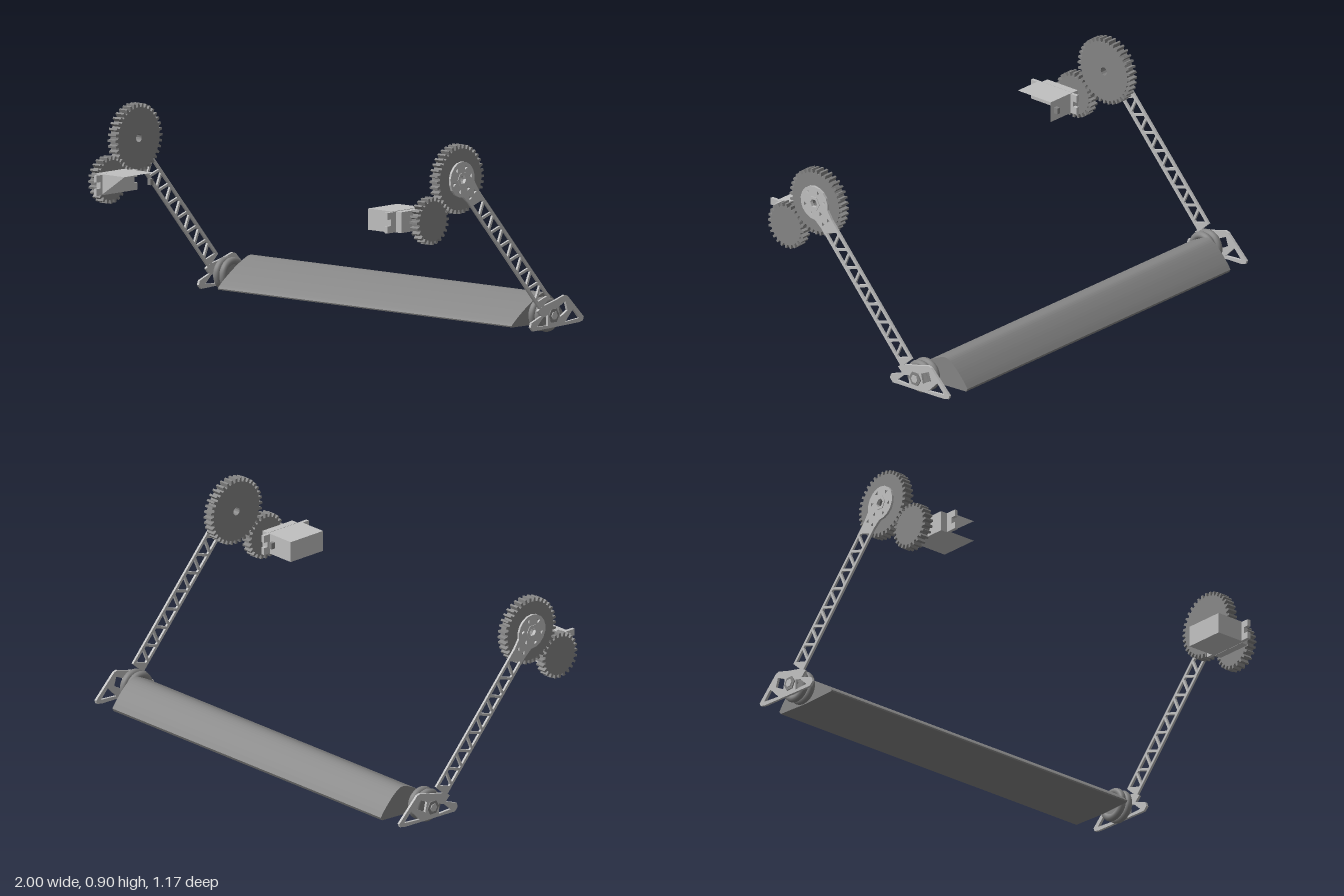
import * as THREE from 'three';

const light = new THREE.MeshStandardMaterial({ color: 0xc0c0c0 });
light.name = 'lightGrey';
const mid = new THREE.MeshStandardMaterial({ color: 0x858585 });
mid.name = 'midGrey';

// Side profiles use (u, v) = (-z, y); depth runs along x.
const HUB = [-0.22, 0.755], PINION = [-0.40, 0.587], WHEEL = [0.38, 0.084];
const path = (pts, C = THREE.Path) => new C(pts.map(p => new THREE.Vector2(...p)));
const ring = ([u, v], r, n, turn = 0) => Array.from({ length: n }, (_, i) => {
  const a = turn + i / n * Math.PI * 2;
  return [u + r * Math.cos(a), v + r * Math.sin(a)];
});

// Extrudes a side profile between x0 and x1 on the chosen side.
function plate(name, pts, holes, x0, x1, side, mat) {
  const shape = path(pts, THREE.Shape);
  shape.holes = holes.map(h => path(h));
  const geo = new THREE.ExtrudeGeometry(shape, { depth: x1 - x0, bevelEnabled: false });
  geo.rotateY(Math.PI / 2).translate(side > 0 ? x0 : -x1, 0, 0);
  const mesh = new THREE.Mesh(geo, mat);
  mesh.name = name;
  return mesh;
}

function gearOutline([u, v], root, tip, teeth) {
  const pts = [];
  for (let i = 0; i < teeth; i++)
    for (const [f, r] of [[-0.3, root], [-0.17, tip], [0.17, tip], [0.3, root]]) {
      const a = (i + f) / teeth * Math.PI * 2;
      pts.push([u + r * Math.cos(a), v + r * Math.sin(a)]);
    }
  return pts;
}

// Arm coordinates: p runs down the arm from the hub, q across it.
const arm = (p, q) => [HUB[0] + p * 0.667 + q * 0.745, HUB[1] - p * 0.745 + q * 0.667];

function armOutline() {
  const pts = [arm(0.82, -0.042), arm(0.82, 0.042), arm(0.11, 0.042)];
  for (let i = 0; i <= 14; i++) {
    const a = THREE.MathUtils.degToRad(38 + i * 284 / 14);
    pts.push(arm(0.08 * Math.cos(a), 0.08 * Math.sin(a)));
  }
  pts.push(arm(0.11, -0.042));
  return pts;
}

function armHoles() {
  const holes = [ring(HUB, 0.02, 6)];
  // truss windows, alternating direction
  for (let i = 0; i < 14; i++) {
    const p = 0.17 + i * 0.0465, s = i % 2 ? 1 : -1;
    holes.push([arm(p - 0.03, s * 0.029), arm(p + 0.03, s * 0.029),
      arm(p + 0.005, -s * 0.027), arm(p - 0.005, -s * 0.027)]);
  }
  // small triangular windows round the hub
  for (const d of [-115, -60, 0, 60, 115, 180]) {
    const a = THREE.MathUtils.degToRad(d);
    holes.push(ring(arm(0.057 * Math.cos(a), 0.057 * Math.sin(a)), 0.011, 3, a));
  }
  holes.push(ring(arm(0.1, 0.02), 0.011, 3), ring(arm(0.1, -0.02), 0.011, 3));
  return holes;
}

const END_PLATE = [[0.236, 0.065], [0.229, 0.045], [0.246, 0.027], [0.547, 0.036], [0.575, 0.042],
  [0.581, 0.058], [0.473, 0.163], [0.454, 0.168], [0.392, 0.15], [0.3, 0.13], [0.277, 0.113], [0.302, 0.089]];
const END_HOLES = [
  [[0.271, 0.045], [0.342, 0.042], [0.342, 0.09], [0.311, 0.081]],
  [[0.414, 0.118], [0.46, 0.14], [0.473, 0.098], [0.425, 0.072]],
  [[0.51, 0.1], [0.552, 0.055], [0.457, 0.047]]];

function box(name, w, h, d, x, y, z, mat) {
  const mesh = new THREE.Mesh(new THREE.BoxGeometry(w, h, d), mat);
  mesh.position.set(x, y, z);
  mesh.name = name;
  return mesh;
}

// Cylinder lying along x.
function rod(name, r, x0, x1, [u, v], side, mat, sides = 20) {
  const geo = new THREE.CylinderGeometry(r, r, x1 - x0, sides).rotateZ(Math.PI / 2);
  const mesh = new THREE.Mesh(geo, mat);
  mesh.position.set(side * (x0 + x1) / 2, v, -u);
  mesh.name = name;
  return mesh;
}

// Right motor case: open inner end and half of its front.
function openCase() {
  const [x0, x1, y0, y1, z0, z1] = [-0.865, -0.725, 0.54, 0.635, 0.35, 0.545];
  const tris = [
    [x0, y1, z0], [x0, y1, z1], [x1, y1, z1], [x0, y1, z0], [x1, y1, z1], [x1, y1, z0],
    [x0, y0, z0], [x1, y0, z0], [x1, y0, z1], [x0, y0, z0], [x1, y0, z1], [x0, y0, z1],
    [x0, y0, z0], [x0, y1, z0], [x1, y1, z0], [x0, y0, z0], [x1, y1, z0], [x1, y0, z0],
    [x0, y0, z1], [x1, y1, z1], [x0, y1, z1]];
  const geo = new THREE.BufferGeometry();
  geo.setAttribute('position', new THREE.Float32BufferAttribute(tris.flat(), 3));
  geo.computeVertexNormals();
  const mesh = new THREE.Mesh(geo, light);
  mesh.name = 'motorCase';
  return mesh;
}

function motor(side) {
  const g = new THREE.Group();
  g.name = side > 0 ? 'leftMotor' : 'rightMotor';
  g.add(side > 0 ? box('motorCase', 0.145, 0.095, 0.195, 0.7925, 0.5875, 0.4475, light) : openCase());
  // mounting flange with slotted ends
  g.add(plate('motorFlange', [
    [-0.585, 0.542], [-0.315, 0.542], [-0.315, 0.575], [-0.335, 0.575], [-0.335, 0.6], [-0.315, 0.6],
    [-0.315, 0.633], [-0.585, 0.633], [-0.585, 0.602], [-0.56, 0.602], [-0.56, 0.573], [-0.585, 0.573],
  ], [], 0.856, 0.872, side, light));
  g.add(box('motorCap', 0.035, 0.093, 0.18, side * 0.8875, 0.5875, 0.44, light));
  g.add(rod('motorShaft', 0.024, 0.9, 0.935, PINION, side, light));
  g.add(box('cableStub', 0.018, 0.028, 0.022, side > 0 ? 0.83 : -0.755, 0.59, 0.34, mid));
  return g;
}

function wheel(side) {
  const g = new THREE.Group();
  g.name = 'guideWheel';
  for (const x of [0.918, 0.955]) {
    const tyre = new THREE.Mesh(new THREE.TorusGeometry(0.06, 0.0165, 12, 36).rotateY(Math.PI / 2), mid);
    tyre.position.set(side * x, WHEEL[1], -WHEEL[0]);
    tyre.name = 'wheelTyre';
    g.add(tyre);
  }
  g.add(rod('wheelCore', 0.057, 0.91, 0.963, WHEEL, side, mid, 32));
  return g;
}

export function createModel() {
  const model = new THREE.Group();
  model.name = 'liftingBlade';

  // wide blade between the arms
  const lower = [[0.238, 0.034], [0.4, 0.031], [0.575, 0.04]];
  const upper = [[0.583, 0.054], [0.56, 0.085], [0.52, 0.128], [0.48, 0.16], [0.452, 0.168],
    [0.42, 0.16], [0.36, 0.13], [0.3, 0.092], [0.25, 0.055], [0.235, 0.04]];
  const curve = new THREE.SplineCurve(upper.map(p => new THREE.Vector2(...p)));
  const profile = [...lower, ...curve.getPoints(36).map(p => [p.x, p.y])];
  model.add(plate('blade', profile, [], -0.873, 0.873, 1, mid));

  for (const side of [1, -1]) {
    const g = new THREE.Group();
    g.name = side > 0 ? 'leftSide' : 'rightSide';
    g.add(
      plate('arm', armOutline(), armHoles(), 0.98, 0.991, side, light),
      plate('endPlate', END_PLATE, END_HOLES, 0.9795, 0.9915, side, light),
      plate('hubCollar', ring(HUB, 0.034, 6), [ring(HUB, 0.02, 6)], 0.979, 0.994, side, light),
      plate('largeGear', gearOutline(HUB, 0.137, 0.155, 36), [ring(HUB, 0.019, 12)], 0.932, 0.979, side, mid),
      plate('smallGear', gearOutline(PINION, 0.089, 0.106, 24), [], 0.932, 0.977, side, mid),
      rod('axle', 0.019, 0.865, 1, WHEEL, side, light, 6),
      rod('axleNut', 0.034, 0.972, 0.996, WHEEL, side, mid, 6),
      wheel(side),
      motor(side));
    model.add(g);
  }
  return model;
}
